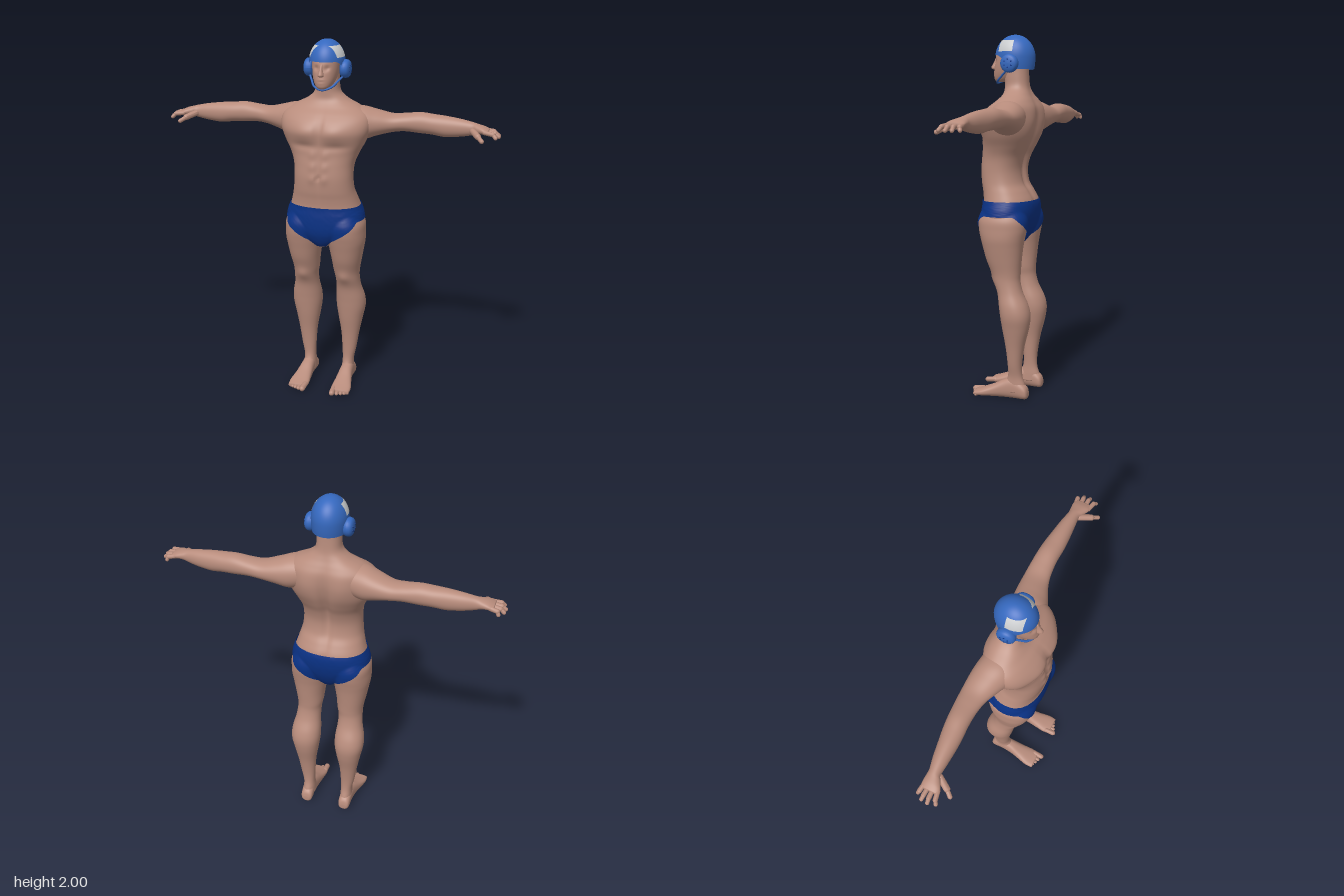
import * as THREE from 'three';

const mat = (name, color, side = THREE.FrontSide) => {
  const m = new THREE.MeshStandardMaterial({ color, side });
  m.name = name;
  return m;
};
const gauss = (dx, dy, sx, sy) => Math.exp(-((dx / sx) ** 2) - (dy / sy) ** 2);
const spow = (v, n) => Math.sign(v) * Math.abs(v) ** (2 / n);

// Smoothly resample section rows [t, a0, a1, b0, b1]
function dense(rows, sub = 6) {
  const out = [], last = rows.length - 1;
  for (let k = 0; k <= last * sub; k++) {
    const i = Math.min(Math.floor(k / sub), last - 1), f = k / sub - i;
    const [p, q, r, s] = [i - 1, i, i + 1, i + 2].map(j => rows[Math.max(0, Math.min(last, j))]);
    out.push(q.map((v, c) => v + 0.5 * f * (r[c] - p[c] + f * (2 * p[c] - 5 * v + 4 * r[c] - s[c]
      + f * (3 * (v - r[c]) + s[c] - p[c])))));
  }
  return out;
}

// Grid of points to a geometry; wrap joins the last column to the first
function gridGeometry(rows, wrap, flip) {
  const n = rows[0].length, pos = rows.flat().flatMap(p => [p.x, p.y, p.z]), idx = [];
  for (let i = 0; i < rows.length - 1; i++) for (let j = 0; j < (wrap ? n : n - 1); j++) {
    const k = (j + 1) % n, a = i * n + j, b = i * n + k, c = a + n, d = b + n;
    if (flip) idx.push(a, c, b, b, c, d); else idx.push(a, b, c, b, d, c);
  }
  const g = new THREE.BufferGeometry();
  g.setAttribute('position', new THREE.Float32BufferAttribute(pos, 3));
  g.setIndex(idx);
  g.computeVertexNormals();
  return g;
}

// Closed loft of superellipse sections along an axis
function loft(rows, axis, n = 2.2, deform = null, seg = 48) {
  const d = dense(rows), closed = r => [r[0], ...[1, 3].flatMap(c => {
    const m = (r[c] + r[c + 1]) / 2; return [m, m];
  })];
  const all = [closed(d[0]), ...d, closed(d[d.length - 1])];
  const pts = all.map(([t, a0, a1, b0, b1]) => Array.from({ length: seg }, (_, j) => {
    const u = j / seg * Math.PI * 2;
    const cu = spow(Math.cos(u), n), su = spow(Math.sin(u), n);
    const a = (a0 + a1) / 2 + cu * (a1 - a0) / 2, b = (b0 + b1) / 2 + su * (b1 - b0) / 2;
    const p = axis === 'x' ? new THREE.Vector3(t, a, b)
      : axis === 'y' ? new THREE.Vector3(a, t, b) : new THREE.Vector3(a, b, t);
    if (deform) p.z += deform(p.x, p.y, su) * su;
    return p;
  }));
  return gridGeometry(pts, true, axis === 'y');
}

function mirrored(geo) {
  const g = geo.clone().scale(-1, 1, 1), ix = g.index.array;
  for (let i = 0; i < ix.length; i += 3) [ix[i], ix[i + 1]] = [ix[i + 1], ix[i]];
  g.computeVertexNormals();
  return g;
}

function capsule(a, b, r) {
  const A = new THREE.Vector3(...a), B = new THREE.Vector3(...b), dir = B.clone().sub(A);
  const q = new THREE.Quaternion().setFromUnitVectors(new THREE.Vector3(0, 1, 0), dir.clone().normalize());
  return new THREE.CapsuleGeometry(r, dir.length(), 6, 12)
    .applyQuaternion(q).translate(...A.add(B).multiplyScalar(0.5).toArray());
}

const sym = rows => rows.map(([y, w, zf, zb]) => [y, -w, w, zb, zf]);
const TORSO = sym([[0.865, 0.04, 0.075, -0.085], [0.9, 0.11, 0.1, -0.11], [0.95, 0.18, 0.12, -0.135],
  [1, 0.213, 0.126, -0.15], [1.05, 0.211, 0.126, -0.157], [1.1, 0.195, 0.123, -0.153], [1.15, 0.18, 0.128, -0.128],
  [1.2, 0.168, 0.137, -0.1], [1.27, 0.163, 0.142, -0.092], [1.34, 0.168, 0.136, -0.108], [1.4, 0.19, 0.128, -0.135],
  [1.46, 0.222, 0.13, -0.157], [1.52, 0.245, 0.136, -0.168], [1.57, 0.25, 0.118, -0.17], [1.61, 0.235, 0.085, -0.165],
  [1.645, 0.185, 0.045, -0.15], [1.68, 0.115, 0.02, -0.132], [1.72, 0.072, 0.016, -0.118],
  [1.78, 0.064, 0.02, -0.112], [1.85, 0.062, 0.02, -0.11]]);
const LEG = [[0.04, 0.08, 0.153, -0.152, 0], [0.08, 0.082, 0.15, -0.14, -0.025], [0.13, 0.085, 0.15, -0.125, -0.045],
  [0.2, 0.082, 0.164, -0.125, -0.045], [0.3, 0.075, 0.18, -0.14, -0.035], [0.4, 0.058, 0.2, -0.165, -0.018],
  [0.47, 0.048, 0.214, -0.173, -0.008], [0.53, 0.048, 0.212, -0.16, 0], [0.6, 0.055, 0.196, -0.127, 0.012],
  [0.66, 0.055, 0.19, -0.112, 0.035], [0.71, 0.046, 0.192, -0.112, 0.05], [0.78, 0.038, 0.205, -0.118, 0.078],
  [0.85, 0.026, 0.218, -0.126, 0.097], [0.9, 0.016, 0.226, -0.135, 0.11], [0.95, 0.012, 0.226, -0.145, 0.121],
  [1, 0.012, 0.222, -0.148, 0.122], [1.05, 0.02, 0.2, -0.135, 0.105]];
const ARM = [[0.12, 1.48, 1.65, -0.15, 0.04], [0.2, 1.465, 1.645, -0.165, 0.035], [0.27, 1.485, 1.626, -0.17, 0.005],
  [0.35, 1.505, 1.607, -0.17, -0.03], [0.42, 1.513, 1.611, -0.168, -0.045], [0.5, 1.508, 1.62, -0.164, -0.05],
  [0.57, 1.505, 1.615, -0.158, -0.048], [0.64, 1.497, 1.61, -0.148, -0.05], [0.72, 1.505, 1.6, -0.135, -0.055],
  [0.78, 1.517, 1.589, -0.122, -0.058], [0.81, 1.527, 1.582, -0.122, -0.045], [0.845, 1.53, 1.573, -0.124, -0.028],
  [0.875, 1.528, 1.56, -0.122, -0.026]];
const FOOT = [[-0.16, 0.1, 0.135, 0.012, 0.04], [-0.145, 0.084, 0.15, 0, 0.075], [-0.08, 0.083, 0.153, 0, 0.115],
  [-0.02, 0.08, 0.158, 0, 0.1], [0.04, 0.075, 0.17, 0, 0.07], [0.1, 0.07, 0.183, 0, 0.045], [0.145, 0.075, 0.18, 0.002, 0.03]];
const HEAD = sym([[1.745, 0.022, 0.07, 0], [1.76, 0.042, 0.081, -0.03], [1.79, 0.058, 0.083, -0.07],
  [1.83, 0.068, 0.08, -0.1], [1.88, 0.073, 0.073, -0.125], [1.93, 0.074, 0.058, -0.12]]);
const NOSE = sym([[1.812, 0.009, 0.085, 0.06], [1.822, 0.016, 0.105, 0.06], [1.85, 0.009, 0.092, 0.06], [1.88, 0.008, 0.076, 0.06]]);

// Chest, abdomen, spine and shoulder blade relief
function torsoRelief(x, y, s) {
  const ax = Math.abs(x);
  if (s < 0) return 0.012 * gauss(ax - 0.1, y - 1.52, 0.06, 0.1) - 0.026 * gauss(x, y - 1.37, 0.025, 0.2)
    - 0.02 * gauss(x, y - 1, 0.02, 0.08);
  let d = 0.014 * gauss(ax - 0.085, y - 1.525, 0.07, 0.05) - 0.012 * gauss(x, y - 1.53, 0.015, 0.07)
    - 0.009 * gauss(ax - 0.09, y - 1.445, 0.08, 0.02) - 0.006 * gauss(x, y - 1.3, 0.01, 0.13)
    - 0.01 * gauss(x, y - 1.275, 0.008, 0.012);
  for (const r of [1.4, 1.335, 1.27]) d += 0.006 * gauss(ax - 0.035, y - r, 0.022, 0.025);
  return d;
}
const kneeRelief = (x, y, s) => (s > 0 ? 0.01 * gauss(x - 0.12, y - 0.68, 0.035, 0.035) : 0);
const faceRelief = (x, y, s) => (s < 0 ? 0 : 0.004 * gauss(x, y - 1.79, 0.025, 0.012)
  - 0.012 * gauss(Math.abs(x) - 0.03, y - 1.857, 0.015, 0.012) - 0.006 * gauss(x, y - 1.788, 0.02, 0.004));

// Radius of pelvis and thighs together along a ray from the body axis
const pelvisRings = dense(TORSO), thighRings = dense(LEG);
function inside(rings, n, x, y, z) {
  const i = rings.findIndex((r, k) => k > 0 && rings[k - 1][0] <= y && r[0] >= y);
  if (i < 0) return false;
  const p = rings[i - 1], q = rings[i], f = (y - p[0]) / (q[0] - p[0] || 1);
  const [, a0, a1, b0, b1] = p.map((v, c) => v + (q[c] - v) * f);
  return Math.abs((2 * x - a0 - a1) / (a1 - a0)) ** n + Math.abs((2 * z - b0 - b1) / (b1 - b0)) ** n < 1;
}
function hipRadius(u, y) {
  for (let r = 0.26; r > 0; r -= 0.001) {
    const x = Math.abs(r * Math.sin(u)), z = r * Math.cos(u) - 0.015;
    if (inside(pelvisRings, 2.3, x, y, z) || inside(thighRings, 2.2, x, y, z)) return r;
  }
  return 0;
}
function briefsGeometry() {
  const cols = 96, steps = 20, rows = [];
  for (let i = 0; i <= steps; i++) rows.push(Array.from({ length: cols }, (_, j) => {
    const u = j / cols * Math.PI * 2, a = Math.acos(Math.abs(Math.cos(u)));
    const low = 0.87 + 0.155 * THREE.MathUtils.clamp((a - 0.3) / 0.85, 0, 1);
    const y = THREE.MathUtils.lerp(low, 1.105, i / steps), r = hipRadius(u, y) + 0.007;
    return new THREE.Vector3(r * Math.sin(u), y, r * Math.cos(u) - 0.015);
  }));
  return gridGeometry(rows, true, false);
}

// Helmet dome: u runs around from the front, phi up from the widest line
function dome(u, phi, k = 1) {
  const s = Math.sin(phi), c = Math.cos(phi);
  return new THREE.Vector3(0.096 * k * c * Math.sin(u), 1.88 + (s > 0 ? 0.12 : 0.2) * s, -0.037 + 0.111 * k * c * Math.cos(u));
}
function helmetGeometry() {
  const rows = [];
  for (let i = 0; i <= 24; i++) rows.push(Array.from({ length: 64 }, (_, j) => {
    const u = j / 64 * Math.PI * 2, e = 0.01 - 0.075 * THREE.MathUtils.smoothstep(-Math.cos(u), -0.75, 0.3);
    return dome(u, THREE.MathUtils.lerp(Math.asin(e / (e > 0 ? 0.12 : 0.2)), Math.PI / 2, i / 24));
  }));
  return gridGeometry(rows, true, false);
}
function patchGeometry() {
  const rows = [];
  for (let i = 0; i <= 8; i++) {
    const phi = THREE.MathUtils.lerp(0.25, 0.85, i / 8);
    rows.push(Array.from({ length: 11 }, (_, j) =>
      dome(Math.acos((0.067 - 0.0085 * j) / (0.111 * Math.cos(phi))), phi, 1.015)));
  }
  return gridGeometry(rows, false, false);
}

export function createModel() {
  const root = new THREE.Group();
  const skin = mat('skin', 0xb88c7c), blue = mat('helmetBlue', 0x3568be, THREE.DoubleSide);
  const navy = mat('briefsNavy', 0x0a3285, THREE.DoubleSide), grey = mat('patchGrey', 0xcaccce, THREE.DoubleSide);
  const add = (name, geo, m) => {
    const mesh = new THREE.Mesh(geo, m);
    mesh.name = name;
    root.add(mesh);
  };
  const pair = (name, geo, m) => {
    add(name + 'Left', geo, m);
    add(name + 'Right', mirrored(geo), m);
  };

  // Body
  add('torso', loft(TORSO, 'y', 2.3, torsoRelief, 96), skin);
  add('head', loft(HEAD, 'y', 2.2, faceRelief, 96), skin);
  add('nose', loft(NOSE, 'y', 2, null, 20), skin);
  pair('leg', loft(LEG, 'y', 2.2, kneeRelief), skin);
  pair('arm', loft(ARM, 'x', 2.1), skin);
  pair('foot', loft(FOOT, 'z', 2.4), skin);

  // Toes, big toe on the inside
  for (let i = 0; i < 5; i++) {
    const r = i ? 0.0115 - i * 0.0006 : 0.016, x = [0.087, 0.113, 0.134, 0.153, 0.17][i];
    pair('toe', capsule([x, r + 0.006, 0.12], [x + 0.002, r, 0.168 - i * 0.009], r), skin);
  }

  // Fingers and thumb
  const tips = [[0.9, -0.122], [0.923, -0.092], [0.927, -0.058], [0.915, -0.018]];
  tips.forEach(([x, z], i) => {
    const base = -0.111 + i * 0.025, mid = [(x + 0.875) / 2 + 0.005, 1.541, (base + z) / 2];
    pair('fingerBase', capsule([0.855, 1.547, base], mid, 0.0125), skin);
    pair('fingerTip', capsule(mid, [x, 1.525, z], 0.0105), skin);
  });
  pair('thumbBase', capsule([0.79, 1.545, -0.06], [0.825, 1.53, -0.005], 0.017), skin);
  pair('thumbTip', capsule([0.825, 1.53, -0.005], [0.85, 1.513, 0.024], 0.012), skin);

  // Swim briefs
  add('briefs', briefsGeometry(), navy);
  add('briefsGusset', new THREE.SphereGeometry(1, 24, 16).scale(0.042, 0.03, 0.095).translate(0, 0.895, -0.01), navy);

  // Helmet with side patches, ear cups and chin strap
  add('helmet', helmetGeometry(), blue);
  pair('helmetPatch', patchGeometry(), grey);
  const cup = [[0, -0.03], [0.04, -0.03], [0.048, -0.02], [0.05, -0.005], [0.047, 0.008], [0.038, 0.017], [0.02, 0.021], [0, 0.022]];
  const place = g => g.rotateZ(-Math.PI / 2).translate(0.107, 1.845, -0.042);
  pair('earCup', place(new THREE.LatheGeometry(cup.map(p => new THREE.Vector2(...p)), 32)), blue);
  for (let i = 0; i < 6; i++) {
    const a = i / 6 * Math.PI * 2;
    pair('earCupHole', place(new THREE.CylinderGeometry(0.004, 0.004, 0.004, 10)
      .translate(0.022 * Math.cos(a), 0.0205, 0.022 * Math.sin(a))), navy);
  }
  const strap = [[0.095, 1.81, -0.025], [0.073, 1.783, 0.01], [0.048, 1.756, 0.045], [0, 1.742, 0.066]];
  const path = [...strap, ...strap.slice(0, 3).reverse().map(([x, y, z]) => [-x, y, z])];
  add('chinStrap', new THREE.TubeGeometry(new THREE.CatmullRomCurve3(path.map(p => new THREE.Vector3(...p))), 48, 0.006, 8), blue);
  return root;
}
